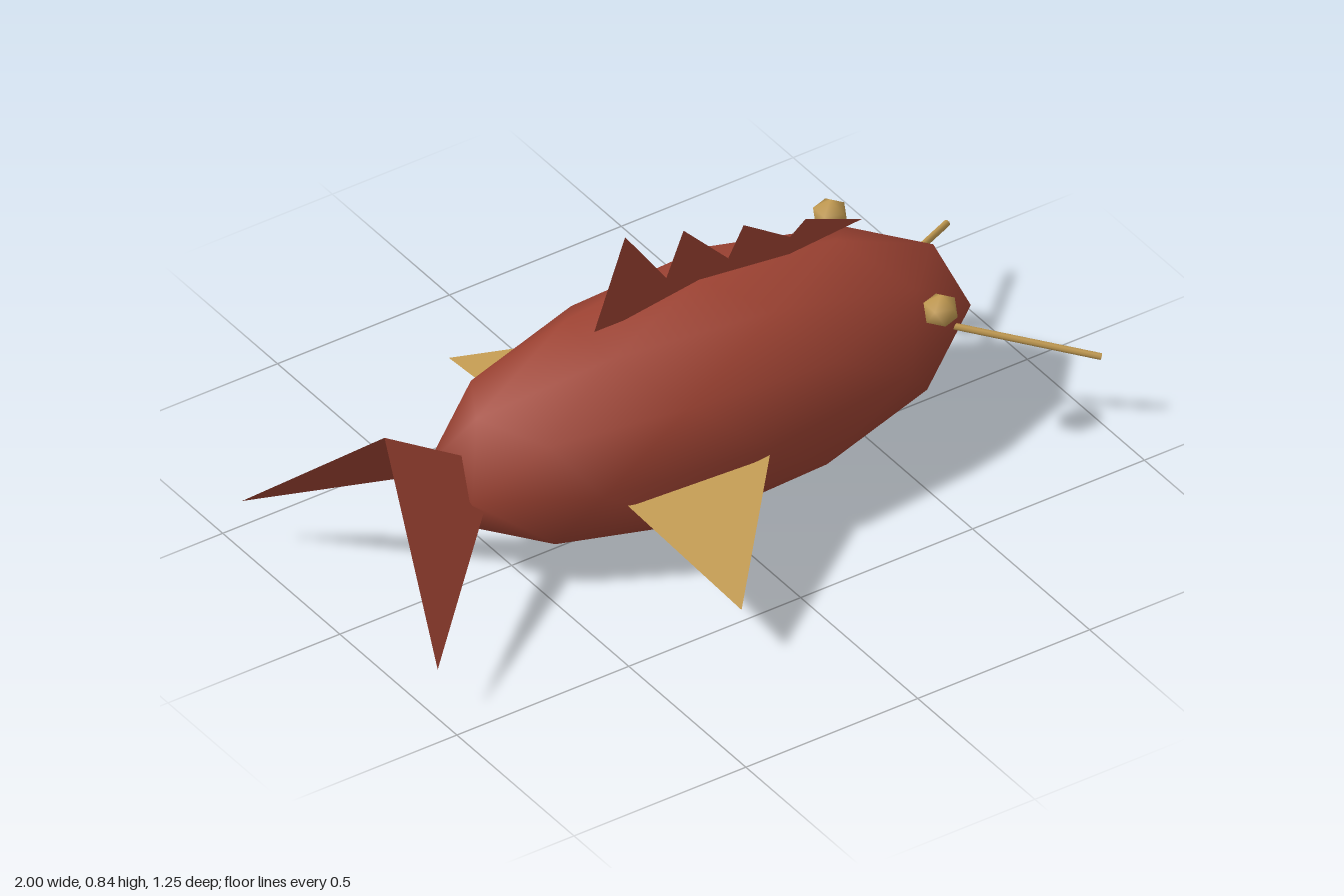
import * as THREE from 'three';

const red = new THREE.MeshStandardMaterial({ color: 0x9e4333, side: THREE.DoubleSide });
red.name = 'brick red';
const gold = new THREE.MeshStandardMaterial({ color: 0xc49c52, side: THREE.DoubleSide });
gold.name = 'dull gold';

// Smooth-shaded icosphere with a vertex pointing straight up
function icosphere(radius, detail) {
  const geo = new THREE.IcosahedronGeometry(radius, detail);
  const pos = geo.attributes.position;
  const v = new THREE.Vector3();
  for (let i = 0; i < pos.count; i++) {
    v.fromBufferAttribute(pos, i).normalize();
    geo.attributes.normal.setXYZ(i, v.x, v.y, v.z);
  }
  return geo.rotateZ(-Math.atan(2 / (1 + Math.sqrt(5))));
}

// One flat triangular fin
function triangle(a, b, c) {
  const geo = new THREE.BufferGeometry();
  geo.setAttribute('position', new THREE.Float32BufferAttribute([...a, ...b, ...c], 3));
  geo.computeVertexNormals();
  return geo;
}

// Thin rod between two points
function rod(from, to, radius) {
  const a = new THREE.Vector3(...from);
  const dir = new THREE.Vector3(...to).sub(a);
  const geo = new THREE.CylinderGeometry(radius, radius, dir.length(), 8);
  geo.applyQuaternion(new THREE.Quaternion().setFromUnitVectors(
    new THREE.Vector3(0, 1, 0), dir.clone().normalize()));
  a.addScaledVector(dir, 0.5);
  return geo.translate(a.x, a.y, a.z);
}

export function createModel() {
  const group = new THREE.Group();
  group.name = 'fish';
  const add = (name, geo, material) => {
    const mesh = new THREE.Mesh(geo, material);
    mesh.name = name;
    group.add(mesh);
  };

  // Body
  add('body', icosphere(1, 1).scale(0.762, 0.313, 0.313).translate(0.045, 0.313, 0), red);

  // Spiky dorsal fin, a flat sheet on the centre plane
  const outline = [
    [-0.26, 0.595], [-0.17, 0.84], [-0.05, 0.67], [0, 0.79], [0.13, 0.655],
    [0.175, 0.735], [0.31, 0.645], [0.355, 0.68], [0.52, 0.613], [0.27, 0.592],
  ].map(([x, y]) => new THREE.Vector2(x, y));
  add('dorsalFin', new THREE.ShapeGeometry(new THREE.Shape(outline)), red);

  // Mirrored parts
  for (const s of [1, -1]) {
    const side = s > 0 ? 'Front' : 'Back';
    add('tailLobe' + side,
      triangle([-0.54, 0.317, 0], [-0.87, 0.53, 0], [-1, 0.145, s * 0.418]), red);
    add('sideFin' + side,
      triangle([0.09, 0.31, s * 0.255], [-0.34, 0.27, s * 0.22], [-0.257, 0.143, s * 0.625]), gold);
    add('eye' + side, icosphere(0.046, 0).translate(0.587, 0.456, s * 0.236), gold);
    add('whisker' + side, rod([0.65, 0.316, s * 0.1], [0.99, 0.21, s * 0.33], 0.009), gold);
  }
  return group;
}
